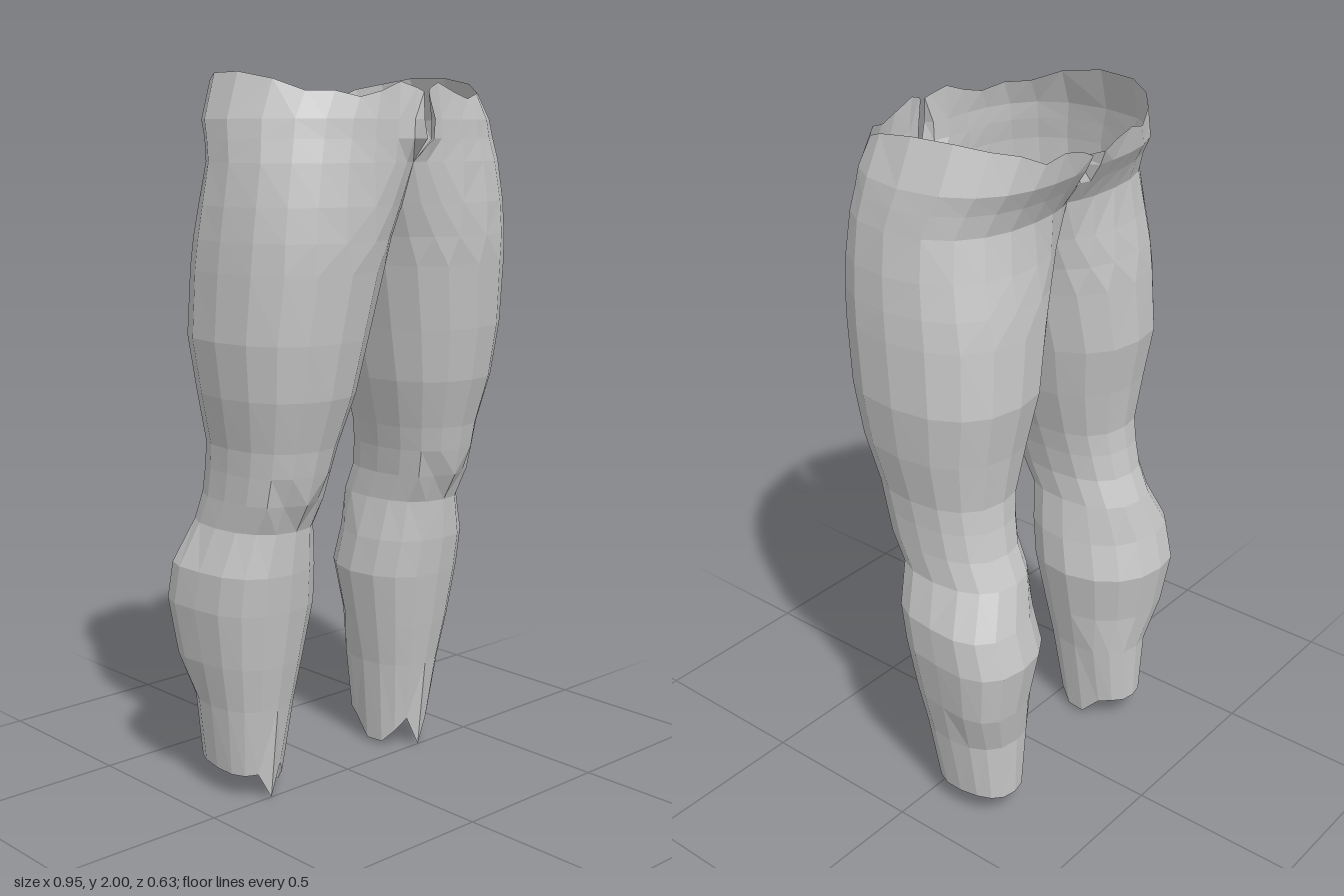
import * as THREE from 'three';

const N = 16; // facets round each leg: 0 inner, 4 front, 8 outer, 12 back

// Cross-sections from waist to hem: y, outer x, inner x, front z, back z.
// A negative inner x leaves the section open at the centre line.
const LEVELS = [
  [1.95, 0.380, -0.22, 0.275, -0.285],
  [1.88, 0.425, -0.21, 0.280, -0.270],
  [1.83, 0.435, -0.20, 0.280, -0.240],
  [1.77, 0.445, -0.13, 0.282, -0.212],
  [1.66, 0.460, -0.06, 0.285, -0.222],
  [1.57, 0.468, -0.02, 0.283, -0.235],
  [1.49, 0.472, 0.002, 0.277, -0.243],
  [1.31, 0.475, 0.045, 0.255, -0.248],
  [1.16, 0.456, 0.080, 0.228, -0.220],
  [1.02, 0.427, 0.122, 0.185, -0.200],
  [0.95, 0.422, 0.138, 0.170, -0.207],
  [0.87, 0.420, 0.150, 0.150, -0.222],
  [0.79, 0.422, 0.150, 0.105, -0.255],
  [0.67, 0.463, 0.128, 0.097, -0.288],
  [0.56, 0.465, 0.117, 0.082, -0.315],
  [0.40, 0.440, 0.147, 0.055, -0.288],
  [0.27, 0.413, 0.172, 0.030, -0.262],
  [0.08, 0.385, 0.203, 0.000, -0.257],
];

// Uneven edges of the waist and the hem
const WAIST_Y = [1.95, 1.96, 1.975, 1.95, 1.935, 1.95, 1.95, 1.98, 2, 2, 1.985, 1.97, 1.94, 1.955, 1.94, 1.92, 1.90];
const HEM_Y = [0.01, 0.01, 0.05, 0.09, 0, 0.075, 0.07, 0.07, 0.075, 0.08, 0.08, 0.08, 0.08, 0.08, 0.08, 0.07, 0.01];

function ring(level, k) {
  const [y, xo, xi, zf, zb] = level;
  const e = 0.85;
  const cx = (xo + xi) / 2, rx = (xo - xi) / 2;
  const cz = (zf + zb) / 2, rz = (zf - zb) / 2;
  const end = xi < 0 ? Math.acos(-Math.pow(cx / rx, 1 / e)) : Math.PI;
  const bend = (v) => Math.sign(v) * Math.pow(Math.abs(v), e);
  const points = [];
  for (let i = 0; i <= N; i++) {
    // Angle from inner front round to inner back, trimmed at the centre line
    const t = 1 - 2 * i / N;
    const a = Math.PI * t - (Math.PI - end) * t * Math.abs(t);
    const p = [Math.max(0, cx + rx * bend(Math.cos(a))), y, cz + rz * bend(Math.sin(a))];
    if (k === 0) p[1] = WAIST_Y[i];
    if (k === LEVELS.length - 1) p[1] = HEM_Y[i];
    // Parted fly standing proud of the front
    if (k < 3 && i === 0) { p[0] = [0.008, 0.020, 0.012][k]; p[2] = [0.30, 0.315, 0.318][k]; }
    if (k < 3 && i === 1) p[2] = 0.29;
    // Back waist dips inwards at the centre seam
    if (k < 3 && i === N) p[2] = -0.225;
    // Kneecap fold, strongest in the middle of the front
    if (y === 0.87 && (i === 3 || i === 5)) p[2] -= 0.015;
    // Calf muscle leans outwards
    if (y > 0.3 && y < 0.7) p[0] += 0.035 * Math.max(0, -Math.sin(a));
    points.push(p);
  }
  return points;
}

function legGeometry(side) {
  const rings = LEVELS.map(ring);
  const points = rings.flat().map(([x, y, z]) => new THREE.Vector3(x * side, y, z));
  const index = [];
  const face = (a, b, c) => (side > 0 ? index.push(a, b, c) : index.push(a, c, b));
  for (let k = 0; k < rings.length - 1; k++) {
    for (let i = 0; i < N; i++) {
      const a = k * (N + 1) + i, b = a + 1, c = a + N + 1, d = c + 1;
      // Split each patch along its shorter diagonal
      if (points[b].distanceTo(points[c]) < points[a].distanceTo(points[d])) { face(a, c, b); face(b, c, d); }
      else { face(a, c, d); face(a, d, b); }
    }
  }
  const g = new THREE.BufferGeometry().setFromPoints(points);
  g.setIndex(index);
  const flat = g.toNonIndexed();
  flat.computeVertexNormals();
  return flat;
}

export function createModel() {
  const model = new THREE.Group();
  model.name = 'trousers';
  const cloth = new THREE.MeshStandardMaterial({ color: 0xc8c8c8, flatShading: true, side: THREE.DoubleSide });
  cloth.name = 'grey cloth';
  for (const side of [1, -1]) {
    const leg = new THREE.Mesh(legGeometry(side), cloth);
    leg.name = side > 0 ? 'leftTrouserLeg' : 'rightTrouserLeg';
    model.add(leg);
  }
  return model;
}
